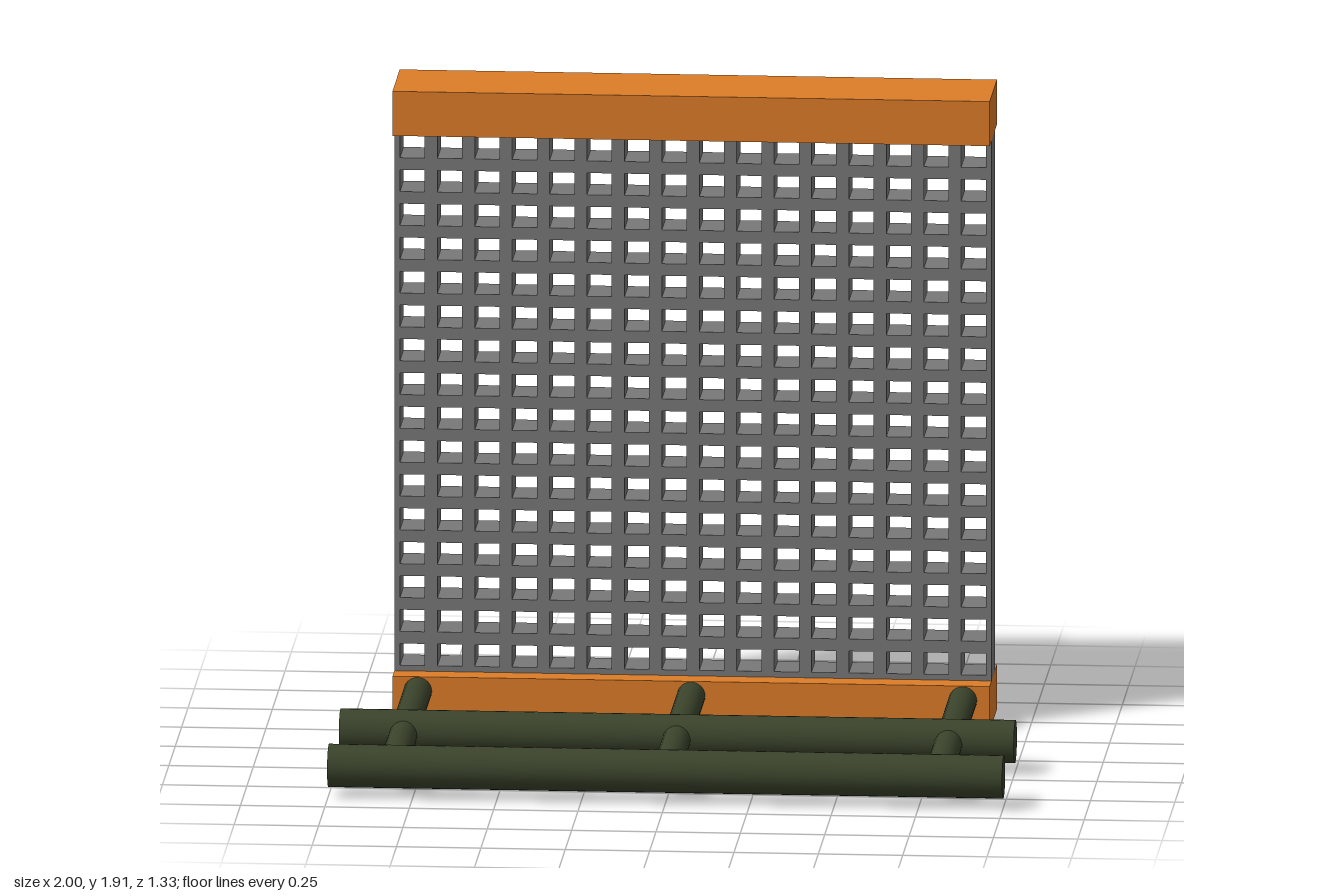
import * as THREE from 'three';

const orange = new THREE.MeshStandardMaterial({ color: 0xdd7c28 });
const grey = new THREE.MeshStandardMaterial({ color: 0x787878 });
const green = new THREE.MeshStandardMaterial({ color: 0x3a432b });

const WIDTH = 1.77, BAR_H = 0.135, TOP = 1.91, PANEL_Z = -0.522;

function add(parent, name, geometry, material, x, y, z) {
  const mesh = new THREE.Mesh(geometry, material);
  mesh.name = name;
  mesh.position.set(x, y, z);
  parent.add(mesh);
  return mesh;
}

// Flat panel pierced by a regular grid of rectangular holes
function latticeGeometry(w, h, depth, cols, rows, rim, holeW, holeH) {
  const rect = (path, x0, y0, x1, y1) =>
    path.moveTo(x0, y0).lineTo(x1, y0).lineTo(x1, y1).lineTo(x0, y1).closePath();
  const shape = new THREE.Shape();
  rect(shape, -w / 2, 0, w / 2, h);
  const stepX = (w - 2 * rim - holeW) / (cols - 1);
  const stepY = (h - 2 * rim - holeH) / (rows - 1);
  for (let i = 0; i < cols; i++) {
    for (let j = 0; j < rows; j++) {
      const x = -w / 2 + rim + i * stepX;
      const y = rim + j * stepY;
      const hole = new THREE.Path();
      rect(hole, x, y, x + holeW, y + holeH);
      shape.holes.push(hole);
    }
  }
  const geometry = new THREE.ExtrudeGeometry(shape, { depth, bevelEnabled: false });
  geometry.translate(0, 0, -depth / 2);
  return geometry;
}

export function createModel() {
  const model = new THREE.Group();
  model.name = 'latticePanelWithRails';

  // Top and bottom beams
  const beam = new THREE.BoxGeometry(WIDTH, BAR_H, 0.285);
  add(model, 'bottomBeam', beam, orange, 0, BAR_H / 2, PANEL_Z);
  add(model, 'topBeam', beam, orange, 0, TOP - BAR_H / 2, PANEL_Z);

  // Lattice between the beams
  const lattice = latticeGeometry(WIDTH, TOP - 2 * BAR_H, 0.14, 16, 16, 0.017, 0.073, 0.066);
  add(model, 'latticePanel', lattice, grey, 0, BAR_H, PANEL_Z);

  // Long round rails across the front
  const rails = new THREE.Group();
  rails.name = 'railFrame';
  model.add(rails);
  const rail = new THREE.CylinderGeometry(0.064, 0.064, 2, 32).rotateZ(Math.PI / 2);
  add(rails, 'frontRail', rail, green, 0, 0.091, 0.6);
  add(rails, 'middleRail', rail, green, 0, 0.091, 0.14);

  // Thinner struts joining the rails to the bottom beam
  const strut = new THREE.CylinderGeometry(0.042, 0.042, 1.02, 24).rotateX(Math.PI / 2);
  [['rightStrut', -0.81], ['centreStrut', 0], ['leftStrut', 0.805]].forEach(([name, x]) =>
    add(rails, name, strut, green, x, 0.091, 0.09));

  return model;
}
